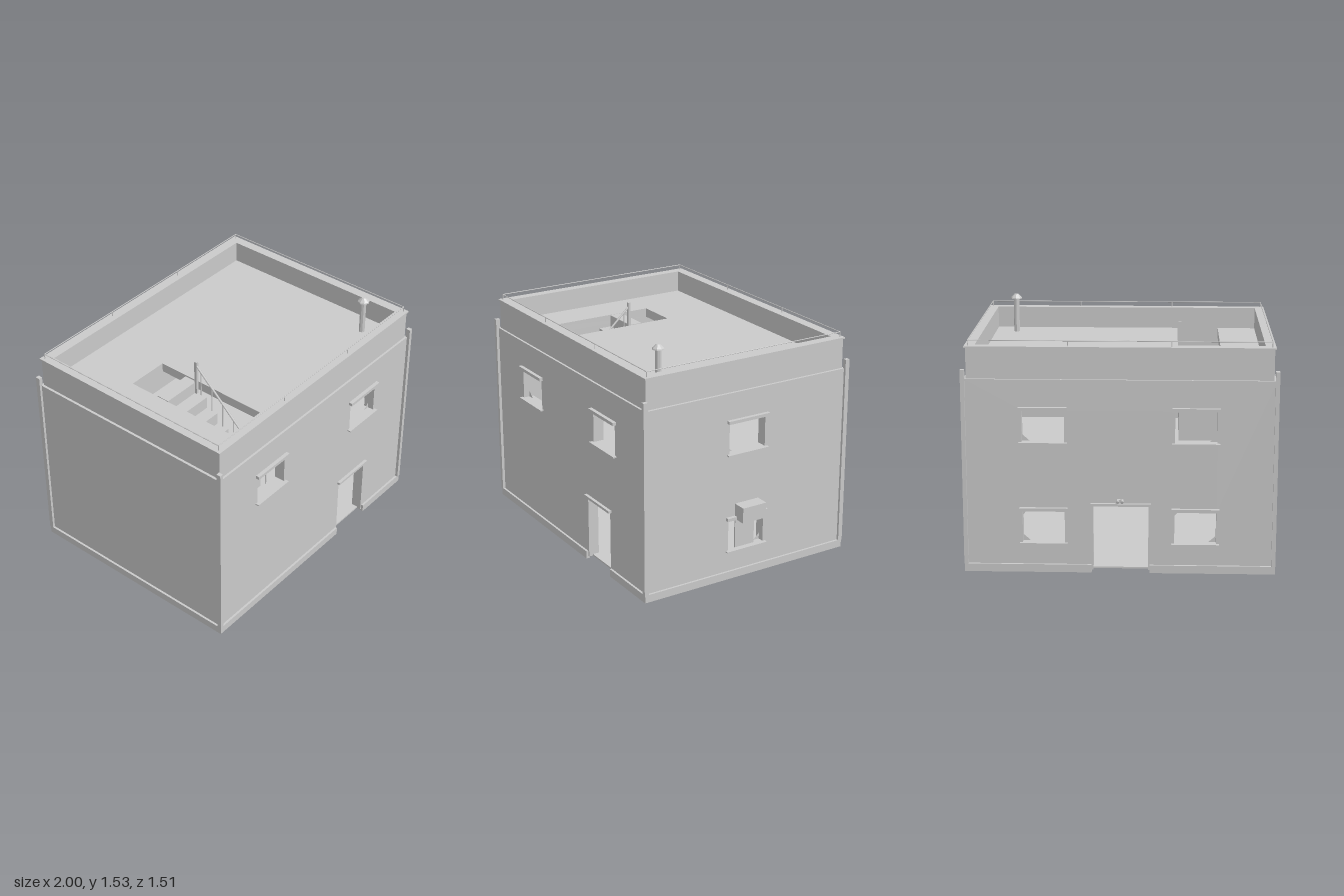
import * as THREE from 'three';

export function createModel() {
  const model = new THREE.Group();
  const plaster = new THREE.MeshStandardMaterial({ color: 0xcacaca });
  plaster.name = 'grey plaster';
  const glass = new THREE.MeshStandardMaterial({ color: 0xcacaca, side: THREE.DoubleSide });
  glass.name = 'grey glass';

  const add = (name, geo, parent = model, mat = plaster) => {
    const m = new THREE.Mesh(geo, mat);
    m.name = name;
    parent.add(m);
    return m;
  };
  // box given by its minimum and maximum on each axis
  const box = (name, x0, x1, y0, y1, z0, z1, parent) => {
    const m = add(name, new THREE.BoxGeometry(x1 - x0, y1 - y0, z1 - z0), parent);
    m.position.set((x0 + x1) / 2, (y0 + y1) / 2, (z0 + z1) / 2);
    return m;
  };
  // round bar between two points
  const bar = (name, a, b, r) => {
    const p = new THREE.Vector3(...a), q = new THREE.Vector3(...b);
    const m = add(name, new THREE.CylinderGeometry(r, r, p.distanceTo(q), 6));
    m.position.copy(p).add(q).multiplyScalar(0.5);
    m.quaternion.setFromUnitVectors(new THREE.Vector3(0, 1, 0), q.sub(p).normalize());
    return m;
  };
  const poly = (pts, Kind = THREE.Shape) => new Kind(pts.map(p => new THREE.Vector2(...p)));
  const rect = (x0, x1, y0, y1, Kind) => poly([[x0, y0], [x1, y0], [x1, y1], [x0, y1]], Kind);
  // horizontal slab with one rectangular hole, [x0, x1, z0, z1]
  const slab = (name, o, h, y0, y1) => {
    const s = rect(o[0], o[1], -o[3], -o[2]);
    s.holes.push(rect(h[0], h[1], -h[3], -h[2], THREE.Path));
    const g = new THREE.ExtrudeGeometry(s, { depth: y1 - y0, bevelEnabled: false });
    add(name, g.rotateX(-Math.PI / 2).translate(0, y0, 0));
  };

  const XL = -0.984, XR = 0.909, ZW = 0.727, WALL = 0.07;
  const BASE = 0.015, WALL_TOP = 1.22, FLOOR = 0.64, ROOF = 1.28;
  const inner = [-0.915, 0.84, -0.657, 0.657];

  // One wall in its own frame: local z = 0 is the outer face, windows [u0, u1, y0, y1], door [u0, u1, height]
  function wall(name, u0, u1, plinth, windows, door) {
    const g = new THREE.Group();
    g.name = name;
    const pts = [[u0, BASE]];
    if (door) pts.push([door[0], BASE], [door[0], door[2]], [door[1], door[2]], [door[1], BASE]);
    pts.push([u1, BASE], [u1, WALL_TOP], [u0, WALL_TOP]);
    const s = poly(pts);
    windows.forEach(w => s.holes.push(rect(...w, THREE.Path)));
    const geo = new THREE.ExtrudeGeometry(s, { depth: WALL, bevelEnabled: false });
    add('wall', geo.translate(0, 0, -WALL), g);

    windows.forEach(([a, b, c, d], i) => {
      box('windowHeader', a - 0.018, b + 0.018, d, d + 0.02, -0.01, 0.024, g);
      box('windowSill', a - 0.018, b + 0.018, c - 0.008, c, -0.02, 0.024, g);
      // broken glass left in the corners
      const k = i % 2 ? -1 : 1;
      [[a, d, 1, -1], [k > 0 ? a : b, c, k, 1]].forEach(([x, y, sx, sy], j) => {
        const e = 0.035 + 0.01 * j;
        add('glassShard', new THREE.ShapeGeometry(poly([[x, y], [x + sx * e, y], [x, y + sy * 0.04]])), g, glass)
          .position.z = -0.04;
      });
    });
    // plinth, left open at the door
    const [p0, p1] = plinth;
    const runs = door ? [[p0, door[0] - 0.01], [door[1] + 0.01, p1]] : [[p0, p1]];
    runs.forEach(([a, b]) => box('plinth', a, b, 0, 0.05, -0.01, 0.014, g));
    if (door) box('doorHeader', door[0] - 0.015, door[1] + 0.015, door[2], door[2] + 0.016, -0.01, 0.02, g);
    model.add(g);
    return g;
  }

  const up = [0.83, 1.03], low = [0.19, 0.395];
  const front = wall('frontWall', XL, XR, [-0.998, 0.923],
    [[-0.632, -0.375, ...up], [0.3, 0.56, ...up]], [0.215, 0.49, 0.43]);
  front.position.z = ZW;
  const back = wall('backWall', -XR, -XL, [-0.923, 0.998],
    [up, low].flatMap(y => [[-0.56, -0.3, ...y], [0.375, 0.632, ...y]]), [-0.125, 0.215, 0.43]);
  back.rotation.y = Math.PI;
  back.position.z = -ZW;
  const e = ZW - WALL;
  const right = wall('rightWall', -e, e, [-0.74, 0.74], [[-0.135, 0.125, ...up], [-0.135, 0.125, ...low]]);
  right.rotation.y = Math.PI / 2;
  right.position.x = XR;
  const left = wall('leftWall', -e, e, [-0.74, 0.74], []);
  left.rotation.y = -Math.PI / 2;
  left.position.x = XL;

  // corner posts standing on the plinth
  for (const x of [-0.9875, 0.9125])
    for (const z of [-0.731, 0.731])
      box('cornerPost', x - 0.0125, x + 0.0125, 0.05, ROOF, z - 0.0145, z + 0.0145);

  // floors and roof with the stairwell opening
  const well = [-0.665, -0.39, -0.24, 0.65];
  box('groundFloor', -0.95, 0.88, BASE, 0.025, -0.7, 0.7);
  box('upperFloor', -0.93, 0.85, 0.58, FLOOR, -0.67, 0.67);
  slab('roof', [-0.93, 0.85, -0.67, 0.67], well, WALL_TOP, ROOF);

  // parapet and its coping
  slab('parapet', [-0.968, 0.893, -0.713, 0.713], inner, 1.2, 1.41);
  slab('coping', [-0.977, 0.902, -0.722, 0.722], inner, 1.41, 1.42);

  // low roof railing
  const rx = [-0.955, 0.88], rz = [-0.697, 0.697], ry = 1.453;
  for (const z of rz) {
    bar('roofRail', [rx[0], ry, z], [rx[1], ry, z], 0.003);
    for (const x of [rx[0], -0.35, 0.275, rx[1]]) bar('railPost', [x, 1.415, z], [x, ry, z], 0.003);
  }
  for (const x of rx) bar('roofRail', [x, ry, rz[0]], [x, ry, rz[1]], 0.003);

  // solid stair rising towards the back, its last tread level with the roof
  const N = 8, z0 = 0.65, run = 0.08625, rise = (ROOF - FLOOR) / N;
  const prof = [[z0, FLOOR]];
  for (let i = 0; i < N; i++)
    for (const k of [i, i + 1]) prof.push([z0 - k * run, FLOOR + (i + 1) * rise]);
  prof.push([z0 - N * run, FLOOR]);
  const stair = new THREE.ExtrudeGeometry(poly(prof.map(([z, y]) => [-z, y])), { depth: 0.26, bevelEnabled: false });
  add('stairs', stair.rotateY(Math.PI / 2).translate(-0.66, 0, 0));

  // stair handrail with balusters
  const hx = -0.403, railY = z => 1.41 - (z - 0.05) * rise / run;
  box('newelPost', hx - 0.009, hx + 0.009, 1.2, 1.435, 0.043, 0.061);
  bar('handrail', [hx, railY(0.05), 0.05], [hx, railY(0.63), 0.63], 0.007);
  for (let i = 0; i < N - 1; i++) {
    const z = z0 - (i + 0.5) * run;
    bar('baluster', [hx, FLOOR + (i + 1) * rise, z], [hx, railY(z), z], 0.004);
  }

  // roof vent pipe with conical hood
  const lathe = [[0, 1.27], [0.019, 1.27], [0.019, 1.505], [0.039, 1.505], [0.037, 1.512], [0.013, 1.535], [0, 1.535]];
  const vent = new THREE.LatheGeometry(lathe.map(p => new THREE.Vector2(...p)), 8).toNonIndexed();
  vent.computeVertexNormals();
  add('ventPipe', vent).position.set(0.7, 0, 0.507);

  // air conditioner above a boarded lower window
  box('airConditioner', 0.87, 0.998, 0.395, 0.495, -0.083, 0.088);
  box('windowBoard', 0.885, 0.895, 0.19, 0.4, -0.067, 0.074);

  // twin lamp over the back door
  box('lampBase', -0.055, -0.025, 0.452, 0.472, -0.742, -0.722);
  for (const x of [-0.054, -0.026])
    bar('lampHead', [x, 0.465, -0.732], [x, 0.458, -0.754], 0.011);

  return model;
}
